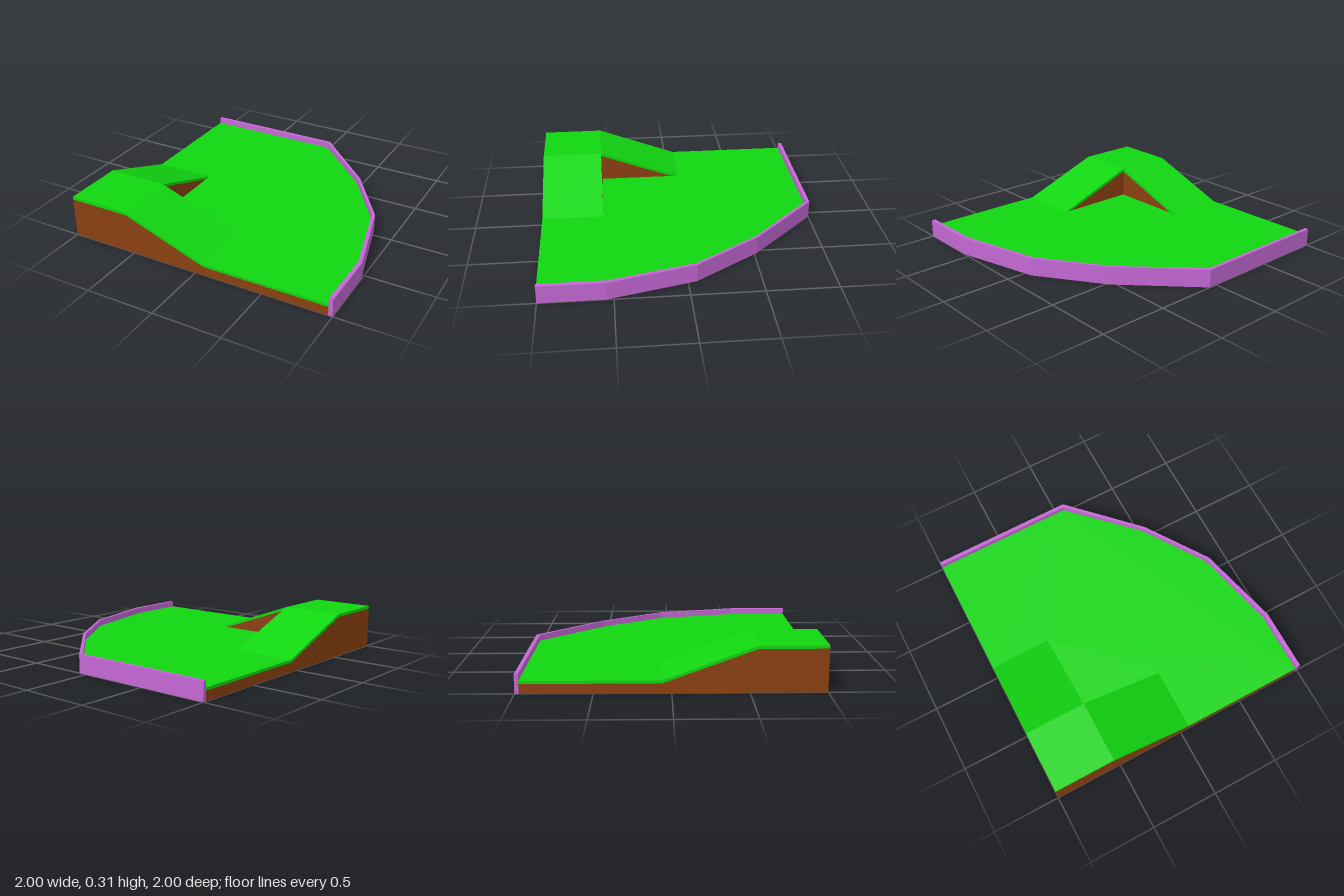
import * as THREE from 'three';

const material = (color) => new THREE.MeshStandardMaterial({ color, flatShading: true });

export function createModel() {
  const group = new THREE.Group();
  const earth = material(0x8b4010);
  const grass = material(0x11d611);
  const wall = material(0xc468d4);

  const add = (name, geometry, mat, parent = group) => {
    const mesh = new THREE.Mesh(geometry, mat);
    mesh.name = name;
    parent.add(mesh);
    return mesh;
  };
  const extrude = (points, depth) => new THREE.ExtrudeGeometry(
    new THREE.Shape(points.map(([a, b]) => new THREE.Vector2(a, b))),
    { depth, bevelEnabled: false });
  // Flat slab from an [x, z] outline between two heights
  const slab = (points, y0, y1) => extrude(points.map(([x, z]) => [x, -z]), y1 - y0)
    .rotateX(-Math.PI / 2).translate(0, y0, 0);

  // Heights of the ground layers and the raised corner
  const soil = 0.065, turf = 0.085, hillSoil = 0.288, hillTurf = 0.31, rim = 0.13;
  // Where the ramps start and end, measured along x
  const top = -0.55, foot = 0.06;

  // Curved boundary, from the back corner round to the front corner
  const outer = [[-1, -1], [0.06, -1], [0.535, -0.52], [0.845, -0.06], [1, 0.55], [1, 1]];
  const inner = [[-1, -0.973], [0.05, -0.973], [0.513, -0.515], [0.82, -0.06], [0.97, 0.545], [0.97, 1]];

  add('boundaryWall', slab([...outer, ...[...inner].reverse()], 0, rim), wall);
  add('groundSoil', slab([...inner, [-1, 1]], 0, soil), earth);

  // Turf leaves out the L-shaped area under the hill and its ramps
  add('groundTurf', slab([...inner, [foot, 1], [foot, -top], [top, -top],
    [top, -foot], [-1, -foot]], soil, turf), grass);

  // Raised corner platform
  const corner = [[-1, -top], [top, -top], [top, 1], [-1, 1]];
  add('platformSoil', slab(corner, soil, hillSoil), earth);
  add('platformTurf', slab(corner, hillSoil, hillTurf), grass);

  // Two ramps leave the platform at right angles
  const width = 1 + top;
  const ramp = (name) => {
    const part = new THREE.Group();
    part.name = name;
    add(name + 'Soil', extrude([[top, soil], [foot, soil], [top, hillSoil]], width)
      .translate(0, 0, -top), earth, part);
    add(name + 'Turf', extrude([[top, hillSoil], [foot, soil], [foot, turf], [top, hillTurf]], width)
      .translate(0, 0, -top), grass, part);
    group.add(part);
    return part;
  };
  ramp('sideRamp');
  const back = ramp('backRamp');
  back.rotation.y = Math.PI / 2;
  back.position.x = top - 1;

  return group;
}
